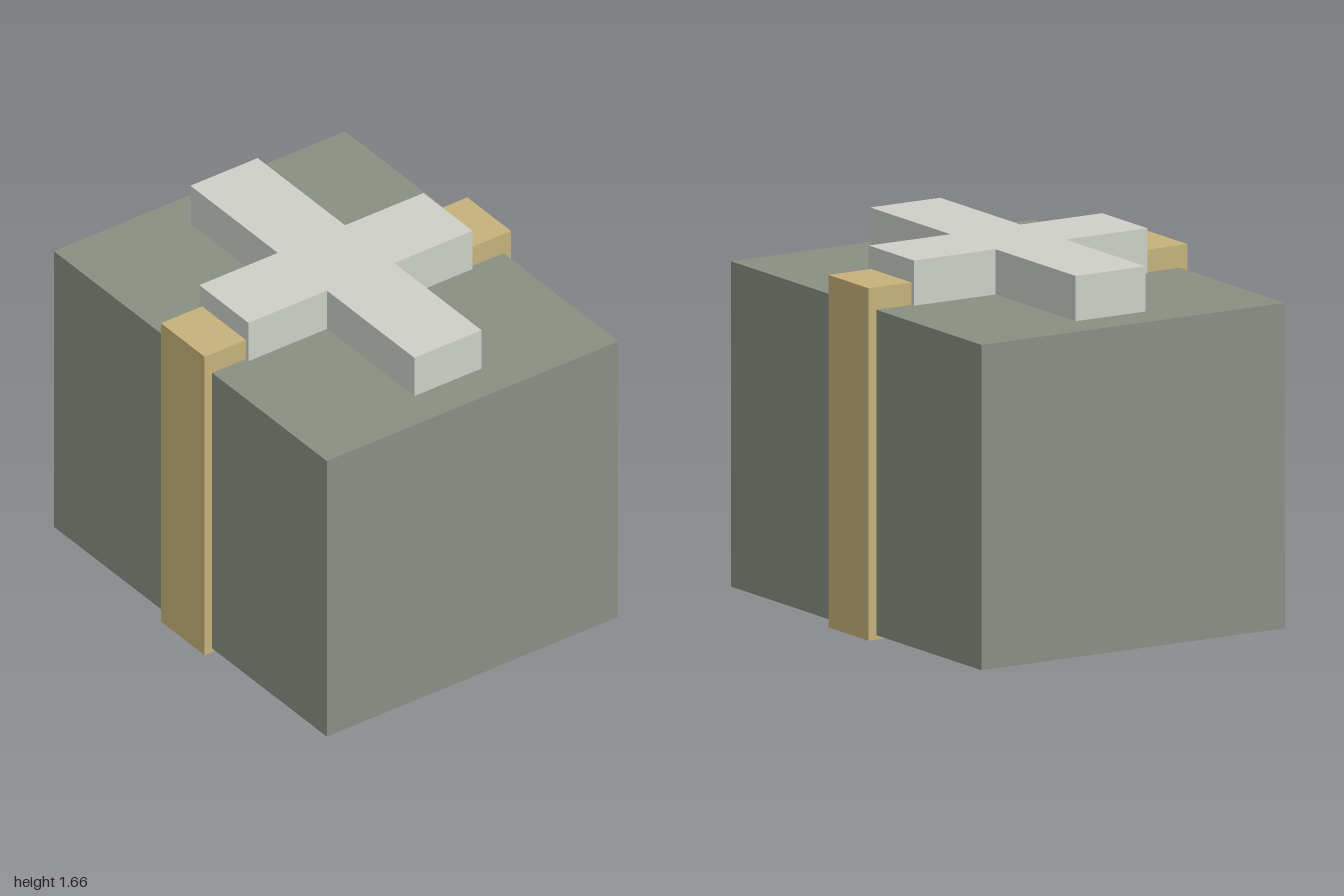
import * as THREE from 'three';

export function createModel() {
  const model = new THREE.Group();

  const add = (name, geometry, color, y) => {
    const mesh = new THREE.Mesh(geometry, new THREE.MeshStandardMaterial({ color, flatShading: true }));
    mesh.name = name;
    mesh.position.y = y;
    model.add(mesh);
  };

  // Main crate
  add('crate', new THREE.BoxGeometry(2, 1.44, 1.56), 0x8a8f84, 0.74);

  // Band wrapped around front, back, top and bottom
  add('strap', new THREE.BoxGeometry(0.32, 1.56, 1.64), 0xc6b27a, 0.78);

  // Raised cross on the lid: one quadrant's corners, mirrored around
  const armX = 0.82, armZ = 0.6, half = 0.18;
  const corners = [
    [armX, -half], [armX, half], [half, half], [half, armZ],
    [-half, armZ], [-half, half], [-armX, half], [-armX, -half],
    [-half, -half], [-half, -armZ], [half, -armZ], [half, -half],
  ].map(([x, z]) => new THREE.Vector2(x, z));
  const cross = new THREE.ExtrudeGeometry(new THREE.Shape(corners), { depth: 0.2, bevelEnabled: false });
  cross.rotateX(-Math.PI / 2);
  add('lidCross', cross, 0xcdd0c8, 1.46);

  return model;
}
